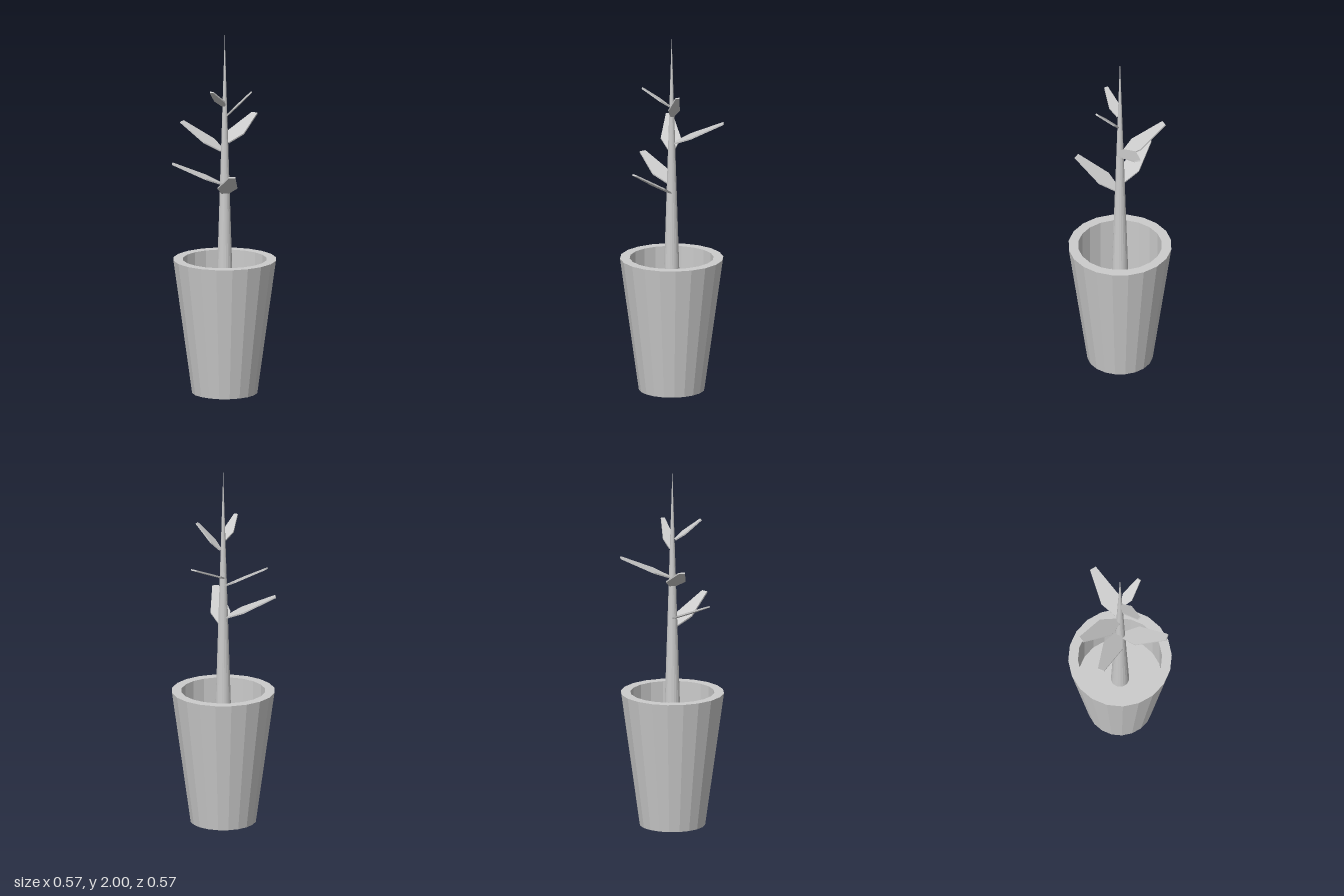
import * as THREE from 'three';

const material = new THREE.MeshStandardMaterial({ color: 0xcccccc, flatShading: true });

// Thin hexagonal blade running along +x from its base, lying flat.
function leafGeometry(length, halfWidth) {
  const end = halfWidth * 0.33;
  const wide = length * 0.33;
  const shape = new THREE.Shape([
    [0, -end], [wide, -halfWidth], [length, -end],
    [length, end], [wide, halfWidth], [0, end],
  ].map(([x, y]) => new THREE.Vector2(x, y)));
  const thickness = 0.008;
  const geometry = new THREE.ExtrudeGeometry(shape, { depth: thickness, bevelEnabled: false });
  return geometry.translate(0, 0, -thickness / 2).rotateX(-Math.PI / 2);
}

// Leaf from the stem at height baseY to the given tip point.
function makeLeaf(name, baseY, tip, halfWidth) {
  const [x, y, z] = tip;
  const start = 0.015;
  const reach = Math.hypot(x, z);
  const run = reach - start;
  const rise = y - baseY;
  const leaf = new THREE.Mesh(leafGeometry(Math.hypot(run, rise), halfWidth), material);
  leaf.name = name;
  leaf.position.set((x / reach) * start, baseY, (z / reach) * start);
  leaf.rotation.order = 'YXZ';
  leaf.rotation.y = Math.atan2(-z, x);
  leaf.rotation.z = Math.atan2(rise, run);
  return leaf;
}

export function createModel() {
  const model = new THREE.Group();
  model.name = 'pottedPlant';

  // Tapered pot with a thick rim and a recessed soil floor
  const soilY = 0.42;
  const profile = [
    [0, 0], [0.18, 0], [0.283, 0.745], [0.23, 0.745], [0.23, soilY], [0, soilY],
  ].map(([r, y]) => new THREE.Vector2(r, y));
  const pot = new THREE.Mesh(new THREE.LatheGeometry(profile, 20), material);
  pot.name = 'pot';
  model.add(pot);

  // Stem tapering to a point
  const stemHeight = 2 - soilY;
  const stem = new THREE.Mesh(new THREE.ConeGeometry(0.05, stemHeight, 20), material);
  stem.name = 'stem';
  stem.position.y = soilY + stemHeight / 2;
  model.add(stem);

  // Leaves spiralling up the stem: base height, tip, half width
  [
    [1.115, [0, 1.26, 0.267], 0.055],
    [1.165, [-0.284, 1.28, -0.033], 0.055],
    [1.35, [-0.212, 1.485, -0.163], 0.055],
    [1.395, [0.196, 1.51, -0.205], 0.055],
    [1.55, [0.135, 1.69, 0.073], 0.032],
    [1.605, [-0.092, 1.71, 0.132], 0.032],
  ].forEach(([baseY, tip, halfWidth], i) => {
    model.add(makeLeaf(`leaf${i + 1}`, baseY, tip, halfWidth));
  });

  return model;
}
